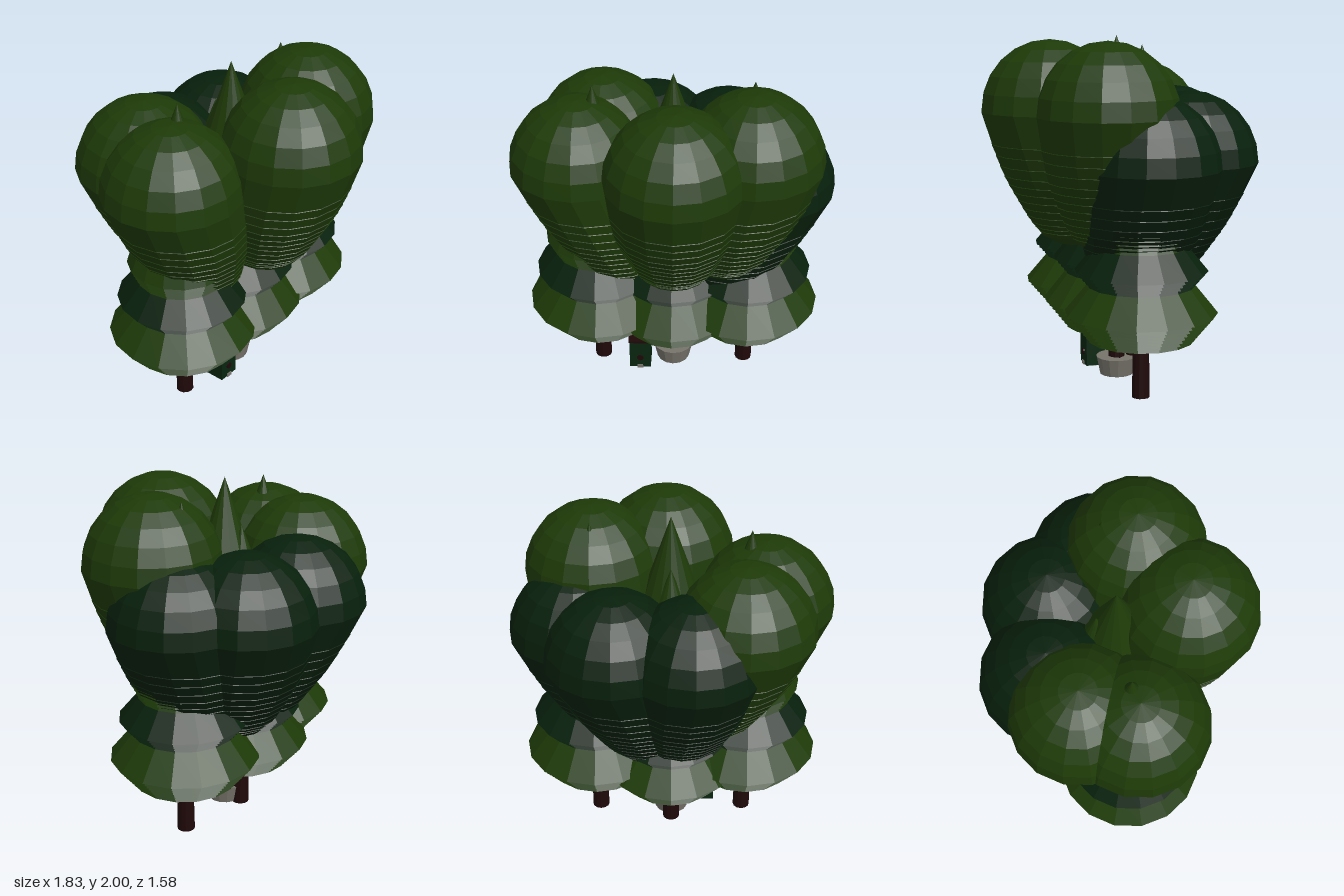
import * as THREE from 'three';

const mat = (name, color) => {
  const m = new THREE.MeshStandardMaterial({ color });
  m.name = name;
  return m;
};

export function createModel() {
  const leaf = mat('leaf green', 0x1e3a08);
  const pine = mat('deep green', 0x08200c);
  const bark = mat('bark brown', 0x1f0808);
  const stone = mat('stone grey', 0x77746b);
  const boxGreen = mat('box green', 0x08260f);

  const model = new THREE.Group();
  model.name = 'treeCluster';

  const add = (parent, name, geometry, material, x = 0, y = 0, z = 0) => {
    const flat = geometry.index ? geometry.toNonIndexed() : geometry;
    flat.computeVertexNormals();
    const mesh = new THREE.Mesh(flat, material);
    mesh.name = name;
    mesh.position.set(x, y, z);
    parent.add(mesh);
    return mesh;
  };
  const lathe = (pts, sides) =>
    new THREE.LatheGeometry(pts.map(([r, y]) => new THREE.Vector2(r, y)), sides);

  // A skirt of needles: sawtooth ledges below the widest edge, sloping roof above
  const tier = (yLow, rLow, yEdge, rEdge, yTop, rTop, teeth) => {
    const pts = [[0, yLow]];
    for (let i = 0; i <= teeth; i++) {
      const t = i / teeth;
      const r = rLow + (rEdge - rLow) * t;
      const y = yLow + (yEdge - yLow) * t;
      pts.push([r, y]);
      if (i < teeth) pts.push([r - 0.015, y + (yEdge - yLow) / teeth]);
    }
    pts.push([rTop, yTop]);
    if (rTop > 0) pts.push([0, yTop]);
    return lathe(pts, 16);
  };

  // Conifers: x, z, foot of foliage, tip height, girth
  const conifers = [
    [-0.44, 0, 0.34, 1.92, 1],
    [0.44, 0, 0.34, 1.96, 1],
    [0, 0, 0.31, 2.0, 1],
    [0, -0.11, 0.31, 1.74, 0.93],
  ];
  for (const [x, z, foot, tip, girth] of conifers) {
    const tree = new THREE.Group();
    tree.name = 'conifer';
    tree.position.set(x, 0, z);
    model.add(tree);
    add(tree, 'trunk', new THREE.CylinderGeometry(0.044, 0.051, 0.4, 12), bark, 0, 0.2, 0);
    const crown = new THREE.Group();
    crown.name = 'coniferCrown';
    crown.position.y = foot;
    crown.scale.set(girth, (tip - foot) / 1.58, girth);
    tree.add(crown);
    add(crown, 'lowerSkirt', tier(0, 0.3, 0.15, 0.425, 0.31, 0.29, 7), leaf);
    add(crown, 'middleSkirt', tier(0.3, 0.3, 0.38, 0.37, 0.52, 0.25, 4), pine);
    add(crown, 'upperSkirt', tier(0.51, 0.26, 0.61, 0.305, 0.8, 0.23, 4), leaf);
    add(crown, 'spire', tier(0.75, 0.23, 0.85, 0.27, 1.58, 0, 3), leaf);
  }

  // Pear-shaped crown profile: finely ledged base swelling to a round top
  const pearPoints = [[0, -0.77], [0.13, -0.755], [0.2, -0.71]];
  const flank = new THREE.CatmullRomCurve3([
    new THREE.Vector3(0.2, -0.71, 0), new THREE.Vector3(0.25, -0.63, 0),
    new THREE.Vector3(0.3, -0.5, 0), new THREE.Vector3(0.345, -0.36, 0),
    new THREE.Vector3(0.375, -0.18, 0),
  ]);
  for (let i = 1; i <= 12; i++) {
    const p = flank.getPoint(i / 12);
    pearPoints.push([p.x, p.y], [p.x - 0.003, p.y + 0.003]);
  }
  pearPoints.push([0.39, 0]);
  for (let i = 1; i <= 6; i++) {
    const a = (i / 6) * Math.PI / 2;
    pearPoints.push([i === 6 ? 0 : 0.39 * Math.cos(a), 0.4 * Math.sin(a)]);
  }

  // Ring of crowns: x, z, height of widest point, inward slant of the base, foliage colour
  const crowns = [
    [0.025, 0.4, 1.58, 0.22, leaf],
    [0.44, 0.19, 1.58, 0.22, leaf],
    [0.525, -0.02, 1.3, 0.38, pine],
    [0.31, -0.325, 1.3, 0.37, pine],
    [-0.13, -0.4, 1.3, 0.37, pine],
    [-0.41, -0.27, 1.44, 0.34, leaf],
    [-0.53, 0.03, 1.44, 0.34, leaf],
  ];
  for (const [x, z, y, slant, material] of crowns) {
    const geometry = lathe(pearPoints, 16);
    const out = new THREE.Vector2(x, z).normalize();
    const pos = geometry.attributes.position;
    // level rings slide toward the middle as they go down
    for (let i = 0; i < pos.count; i++) {
      const shift = slant * Math.min(0, pos.getY(i));
      pos.setX(i, pos.getX(i) + out.x * shift);
      pos.setZ(i, pos.getZ(i) + out.y * shift);
    }
    add(model, 'roundCrown', geometry, material, x, y, z);
  }

  // Stone tub around the middle trunk, with two hanging cords
  add(model, 'tub', lathe([[0.04, 0.004], [0.1, 0.004], [0.122, 0.11], [0.03, 0.11]], 14), stone);
  for (const x of [-0.065, 0.06]) {
    add(model, 'cord', new THREE.CylinderGeometry(0.005, 0.005, 0.26, 6), bark, x, 0.21, 0);
  }

  // Small nesting box with lid, entrance and foot
  const nest = new THREE.Group();
  nest.name = 'nestingBox';
  nest.position.set(-0.2, 0, 0.085);
  model.add(nest);
  add(nest, 'boxBody', new THREE.BoxGeometry(0.13, 0.2, 0.12), boxGreen, 0, 0.115, 0);
  add(nest, 'boxLid', new THREE.BoxGeometry(0.142, 0.014, 0.135), bark, 0, 0.219, 0);
  const hole = new THREE.CylinderGeometry(0.02, 0.02, 0.008, 10).rotateX(Math.PI / 2);
  add(nest, 'entrance', hole, bark, 0, 0.09, 0.062);
  add(nest, 'boxFoot', new THREE.CylinderGeometry(0.03, 0.03, 0.016, 10), stone, 0, 0.008, 0);
  add(nest, 'footPlate', new THREE.BoxGeometry(0.035, 0.024, 0.008), stone, 0, 0.022, 0.062);

  return model;
}
